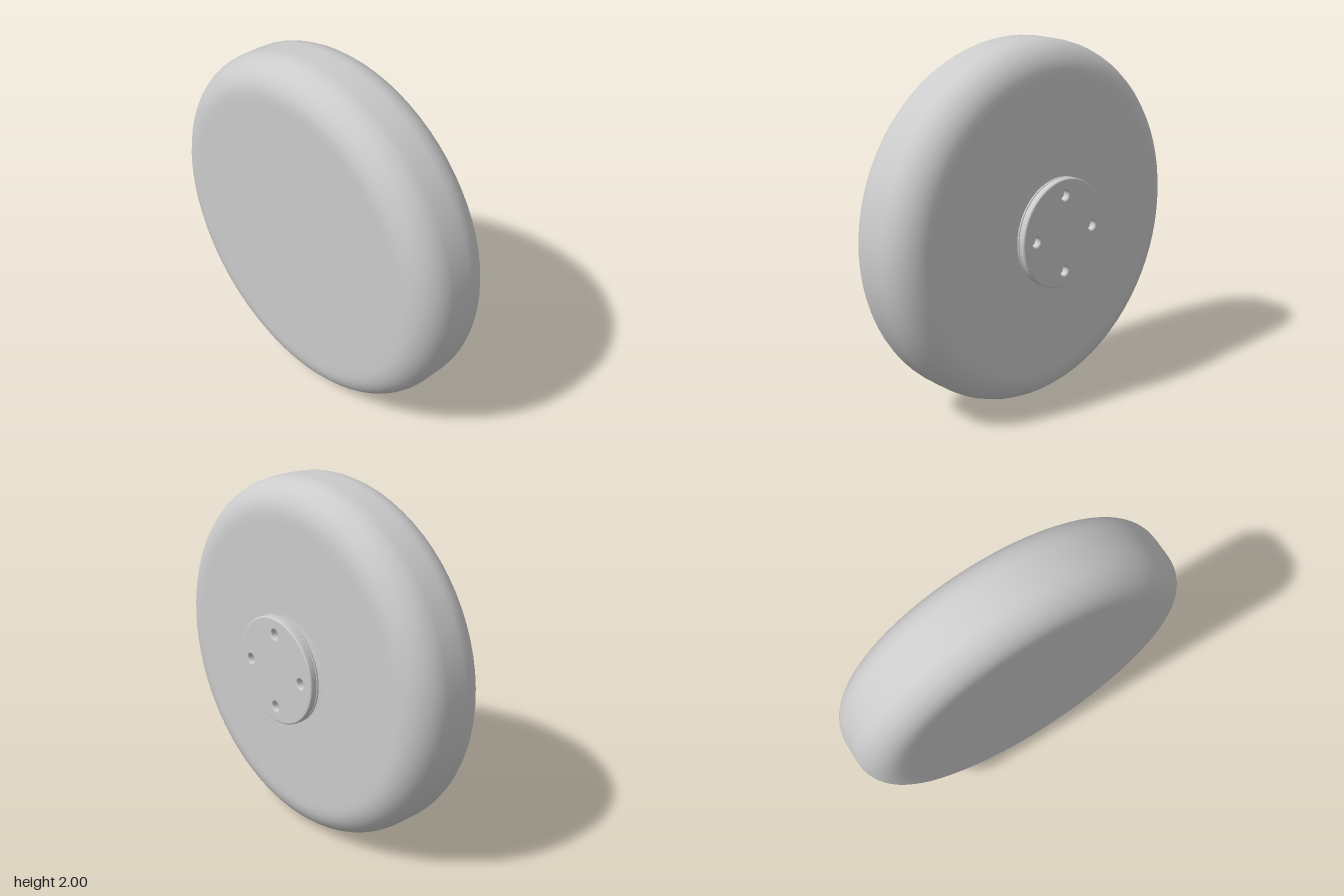
import * as THREE from 'three';

const material = new THREE.MeshStandardMaterial({ color: 0xcccccc });

function addPart(group, name, geometry) {
  const mesh = new THREE.Mesh(geometry, material);
  mesh.name = name;
  group.add(mesh);
}

// Revolve [radius, z] points around the z axis, listed from back to front
function turned(points, segments) {
  const profile = points.map(([r, z]) => new THREE.Vector2(r, z));
  return new THREE.LatheGeometry(profile, segments).rotateX(Math.PI / 2);
}

// Quarter-round corner points as [radius, z]
function corner(cr, cz, size, from, to, steps = 8) {
  return Array.from({ length: steps + 1 }, (_, i) => {
    const a = from + ((to - from) * i) / steps;
    return [cr + size * Math.cos(a), cz + size * Math.sin(a)];
  });
}

export function createModel() {
  const model = new THREE.Group();
  model.name = 'roundDisc';
  const disc = new THREE.Group();
  disc.position.y = 1;
  model.add(disc);

  // Thick disc with softly rounded rims
  const back = -0.19, front = 0.29, round = 0.18;
  addPart(disc, 'discBody', turned([
    [0, back], [0.78, back],
    ...corner(1 - round, back + round, round, -Math.PI / 2, 0),
    ...corner(1 - round, front - round, round, 0, Math.PI / 2),
    [0.78, front], [0, front],
  ], 72));

  // Waisted neck between the disc and the mounting plate
  addPart(disc, 'neck', turned([
    [0.22, -0.245], [0.215, -0.235], [0.195, -0.222], [0.185, -0.21],
    [0.2, -0.2], [0.24, -0.193], [0.3, -0.189],
  ], 48));

  // Round mounting plate with four countersunk holes
  const bevel = 0.01;
  const plate = new THREE.Shape().absarc(0, 0, 0.3 - bevel, 0, Math.PI * 2);
  for (let i = 0; i < 4; i++) {
    const a = (i * Math.PI) / 2;
    plate.holes.push(new THREE.Path().absarc(
      0.21 * Math.cos(a), 0.21 * Math.sin(a), 0.036, 0, Math.PI * 2, true));
  }
  const plateGeometry = new THREE.ExtrudeGeometry(plate, {
    depth: 0.022, bevelThickness: bevel, bevelSize: bevel, bevelSegments: 3, curveSegments: 32,
  });
  plateGeometry.translate(0, 0, -0.29 + bevel);
  addPart(disc, 'mountingPlate', plateGeometry);

  // Backing that closes the bottom of the holes
  addPart(disc, 'plateBacking', turned([
    [0, -0.25], [0.297, -0.25], [0.3, -0.247], [0.3, -0.24], [0.292, -0.233], [0, -0.233],
  ], 64));

  return model;
}
